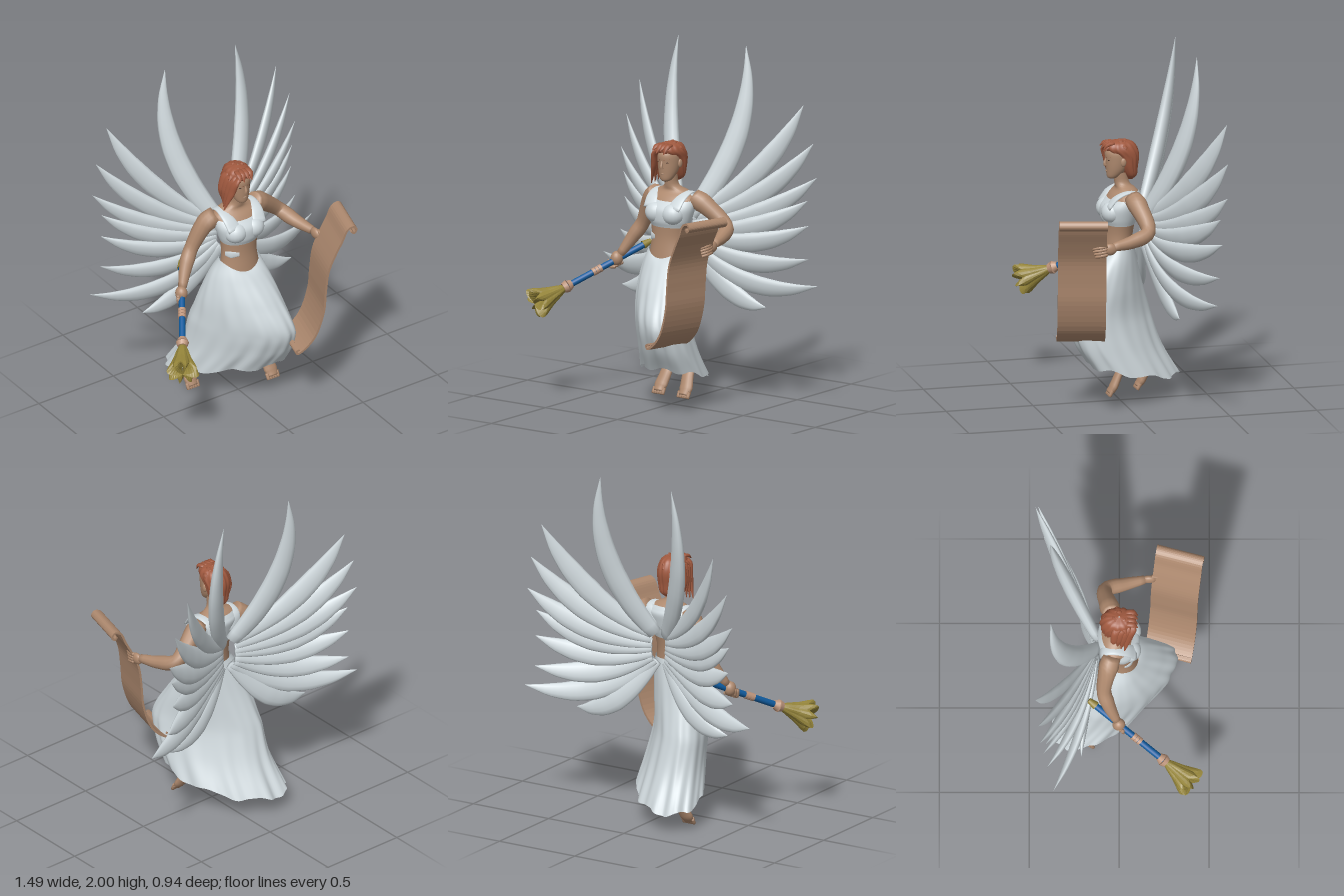
import * as THREE from 'three';

const V = (a) => new THREE.Vector3(...a);
const spline = (pts) => new THREE.CatmullRomCurve3(pts.map(V), false, 'catmullrom');
const mat = (name, color) => Object.assign(new THREE.MeshStandardMaterial({ color }), { name });

// Closed-around surface: f(angle, v) gives a point; v runs along the axis
function surface(f, around, along) {
  const pos = [], idx = [];
  for (let j = 0; j <= along; j++)
    for (let i = 0; i < around; i++) pos.push(...f(i / around * Math.PI * 2, j / along));
  for (let j = 0; j < along; j++)
    for (let i = 0; i < around; i++) {
      const a = j * around + i, b = j * around + (i + 1) % around;
      idx.push(a, b, a + around, b, b + around, a + around);
    }
  const g = new THREE.BufferGeometry();
  g.setAttribute('position', new THREE.Float32BufferAttribute(pos, 3));
  g.setIndex(idx);
  g.computeVertexNormals();
  return g;
}

// Elliptical rings [y, cx, cz, rx, rz], listed from bottom to top
function loft(rings, mod = (p) => p, around = 32, along = 28) {
  const c = spline(rings.map((r) => r.slice(0, 3)));
  const s = spline(rings.map((r) => [r[3], r[4], 0]));
  return surface((a, v) => {
    const p = c.getPoint(v), r = s.getPoint(v);
    return mod([p.y + r.x * Math.cos(a), p.x, p.z - r.y * Math.sin(a)], a, v);
  }, around, along);
}

// Tapered sweep with an elliptical section, closed at both ends
function sweep(pts, radii, thick = 1, side = [0, 0.7, 0.7], around = 12, along = 20) {
  const c = spline(pts), w = V(side);
  return surface((a, v) => {
    const u = THREE.MathUtils.clamp((v * along - 1) / (along - 2), 0, 1);
    const p = c.getPoint(u), t = c.getTangent(u);
    const s = w.clone().addScaledVector(t, -w.dot(t)).normalize();
    const n = t.clone().cross(s);
    const k = u * (radii.length - 1), i = Math.min(Math.floor(k), radii.length - 2);
    const r = v === 0 || v === 1 ? 0 : THREE.MathUtils.lerp(radii[i], radii[i + 1], k - i);
    return p.addScaledVector(s, r * Math.cos(a)).addScaledVector(n, r * thick * Math.sin(a)).toArray();
  }, around, along);
}

export function createModel() {
  const model = new THREE.Group();
  const skin = mat('skin', 0xae896e), white = mat('white cloth and feathers', 0xcfd8dc);
  const hairMat = mat('auburn hair', 0xa0593f), blue = mat('blue rod', 0x0f5a9c);
  const gold = mat('gold', 0x94843a), paper = mat('parchment', 0xab876d);
  const wrap = mat('pale wrapping', 0xbd957c), dark = mat('dark eyes', 0x4a3328);
  const cloth = mat('skirt cloth', 0xcfd8dc);
  cloth.side = THREE.DoubleSide;
  const add = (name, geo, m, parent = model) => {
    const mesh = new THREE.Mesh(geo, m);
    mesh.name = name;
    parent.add(mesh);
    return mesh;
  };
  const ball = (name, p, s, m) => {
    const b = add(name, new THREE.SphereGeometry(1, 20, 14), m);
    b.position.set(...p);
    b.scale.set(...s);
  };

  // Wings: [tip, bend, root] of each feather on the +x side
  const feathers = [
    [[0.235, 2.0, -0.38], [0.325, 1.5, -0.36], [0.04, 1.06, -0.13]],
    [[0.57, 1.69, -0.465], [0.40, 1.25, -0.33], [0.05, 1.06, -0.14]],
    [[0.65, 1.485, -0.45], [0.42, 1.12, -0.31], [0.05, 1.03, -0.14]],
    [[0.68, 1.295, -0.44], [0.42, 1.02, -0.29], [0.05, 1.0, -0.14]],
    [[0.64, 1.165, -0.41], [0.39, 0.94, -0.26], [0.05, 0.98, -0.14]],
    [[0.64, 1.02, -0.42], [0.37, 0.85, -0.24], [0.05, 0.95, -0.14]],
    [[0.655, 0.835, -0.40], [0.36, 0.74, -0.20], [0.05, 0.93, -0.14]],
    [[0.745, 0.70, -0.365], [0.36, 0.60, -0.18], [0.04, 0.91, -0.13]],
    [[0.50, 0.575, -0.21], [0.25, 0.56, -0.21], [0.03, 0.90, -0.12]],
  ];
  for (const m of [1, -1]) {
    const wing = new THREE.Group();
    wing.name = m > 0 ? 'leftWing' : 'rightWing';
    model.add(wing);
    feathers.forEach(([tip, bend, root], i) => {
      const curve = new THREE.QuadraticBezierCurve3(V(root), V(bend), V(tip));
      const side = i ? V([0.42, -0.3, 0.9]).cross(V(tip).sub(V(root))).normalize().toArray() : [0.85, 0, -0.45];
      const flip = (p) => [p[0] * m, p[1], p[2]];
      const pts = curve.getPoints(6).map((p) => flip(p.toArray()));
      const radii = i ? [0.03, 0.042, 0.055, 0.062, 0.056, 0.036, 0.001] : [0.045, 0.06, 0.065, 0.06, 0.048, 0.028, 0.001];
      add('feather', sweep(pts, radii, i ? 0.42 : 0.6, flip(side), 12, 24), white, wing);
    });
  }

  // Torso and neck
  add('torso', loft([
    [0.83, -0.005, 0.02, 0.12, 0.085], [0.95, -0.005, 0.012, 0.106, 0.08], [1.05, 0, 0.005, 0.12, 0.09],
    [1.12, 0, -0.005, 0.138, 0.1], [1.18, 0, -0.025, 0.145, 0.085], [1.215, -0.005, -0.03, 0.1, 0.058],
    [1.245, -0.005, -0.012, 0.043, 0.042], [1.31, -0.005, 0.0, 0.038, 0.04]]), skin);

  // Bodice with bust and straps, and a scrap of cloth at the waist
  add('bodice', loft([[1.02, 0, 0.008, 0.115, 0.088], [1.06, 0, 0.008, 0.13, 0.103],
    [1.12, 0, 0.0, 0.146, 0.111], [1.165, 0, -0.02, 0.148, 0.1], [1.19, 0, -0.026, 0.136, 0.084], [1.21, 0, -0.03, 0.114, 0.068]],
  ([x, y, z], a, v) => [x, y - 0.025 * v * v * Math.max(0, -Math.sin(a)), z]), white);
  for (const m of [1, -1]) {
    ball('bust', [m * 0.057, 1.095, 0.06], [0.066, 0.062, 0.062], white);
    add('strap', sweep([[m * 0.08, 1.13, 0.088], [m * 0.095, 1.185, 0.042], [m * 0.098, 1.212, -0.03],
      [m * 0.09, 1.185, -0.09], [m * 0.07, 1.1, -0.102]], [0.045, 0.036, 0.03, 0.034, 0.04], 0.25, [1, 0, 0]), white);
  }
  add('waistScrap', sweep([[-0.108, 0.955, 0.03], [-0.09, 0.957, 0.062], [-0.05, 0.96, 0.088]],
    [0.014, 0.022, 0.012], 0.2, [0, 1, 0]), white);

  // Flowing skirt: folds, swept back at the hem, dipped at the front of the waist
  add('skirt', loft([
    [0.17, -0.035, -0.08, 0.22, 0.29], [0.33, -0.015, 0.01, 0.192, 0.275], [0.5, -0.015, 0.06, 0.175, 0.262],
    [0.66, -0.018, 0.05, 0.172, 0.198], [0.8, -0.015, 0.028, 0.152, 0.135], [0.9, -0.005, 0.016, 0.118, 0.092]],
  ([x, y, z], a, v) => {
    const f = -Math.sin(a), low = 1 - v;
    const fold = 1 + low * (0.022 * Math.sin(11 * a + 3 * v) + 0.014 * Math.sin(19 * a + 1 - 4 * v));
    const hem = Math.max(0, 1 - v * 2.5);
    return [x * fold + 0.135 * f * Math.min(1, low * 1.6), y + hem * (0.07 * f + 0.012 * Math.sin(7 * a))
      - 0.055 * v ** 6 * Math.max(0, f) ** 2, z * fold];
  }, 120, 36), cloth);

  // Legs and pointed feet
  const leg = (name, pts) => {
    add(name, sweep(pts, [0.06, 0.05, 0.034, 0.032], 1), skin);
    const [x, y, z] = pts[3], out = Math.sign(x) * 0.012;
    add(name + 'Foot', sweep([[x, y + 0.025, z - 0.015], [x, y - 0.03, z + 0.02], [x + out, y - 0.1, z + 0.055],
      [x + out, y - 0.135, z + 0.08]], [0.03, 0.037, 0.042, 0.03], 0.55, [1, 0, 0]), skin);
    for (let i = -2; i <= 2; i++)
      add('toe', sweep([[x + out + i * 0.016, y - 0.115, z + 0.068], [x + out + i * 0.016, y - 0.148, z + 0.086]],
        [0.012, 0.01], 1, [1, 0, 0], 8, 6), skin);
  };
  leg('leftLeg', [[0.08, 0.7, 0.06], [0.13, 0.46, 0.16], [0.145, 0.3, 0.07], [0.15, 0.22, 0.025]]);
  leg('rightLeg', [[-0.09, 0.7, 0.02], [-0.12, 0.45, 0.03], [-0.17, 0.25, -0.16], [-0.19, 0.15, -0.23]]);

  // Arms
  const arm = (name, pts) => add(name, sweep(pts, [0.05, 0.057, 0.048, 0.04, 0.042, 0.034, 0.024], 1), skin);
  arm('rightArm', [[-0.125, 1.185, -0.04], [-0.19, 1.12, -0.065], [-0.255, 0.99, -0.085], [-0.31, 0.9, -0.06], [-0.365, 0.8, -0.015]]);
  arm('leftArm', [[0.125, 1.185, -0.04], [0.2, 1.14, -0.06], [0.32, 1.04, -0.08], [0.365, 1.0, 0.02], [0.4, 0.985, 0.14]]);
  ball('rightHand', [-0.38, 0.775, -0.002], [0.034, 0.042, 0.036], skin);
  ball('leftHand', [0.407, 0.975, 0.165], [0.02, 0.033, 0.04], skin);
  for (let i = 0; i < 4; i++) {
    const y = 0.997 - i * 0.016;
    add('leftFinger', sweep([[0.415, y, 0.18], [0.413, y - 0.008, 0.22], [0.395, y - 0.016, 0.262 - i * 0.006]],
      [0.011, 0.01, 0.007], 1, [0, 1, 0], 8, 8), skin);
    const d = i * 0.016 - 0.024;
    const q = [-0.378 - d * 0.5, 0.77 - d * 0.41, d * 0.76];
    add('rightFinger', sweep([[q[0] - 0.025, q[1] + 0.01, q[2]], [q[0] - 0.02, q[1] - 0.03, q[2] + 0.005],
      [q[0] + 0.015, q[1] - 0.03, q[2]]], [0.012, 0.011, 0.008], 1, [0, 0, 1], 8, 8), skin);
  }

  // Head and face
  add('head', loft([
    [1.272, -0.005, 0.047, 0.008, 0.01], [1.285, -0.005, 0.04, 0.033, 0.033], [1.325, -0.005, 0.022, 0.052, 0.056],
    [1.38, -0.005, 0.012, 0.061, 0.07], [1.43, -0.005, 0.008, 0.06, 0.076], [1.47, -0.005, 0, 0.04, 0.055],
    [1.485, -0.005, 0, 0.005, 0.005]]), skin);
  add('nose', sweep([[-0.005, 1.395, 0.078], [-0.005, 1.365, 0.086], [-0.005, 1.35, 0.083]], [0.005, 0.009, 0.01], 1, [1, 0, 0]), skin);
  add('lips', sweep([[-0.024, 1.318, 0.067], [-0.005, 1.319, 0.077], [0.014, 1.318, 0.067]], [0.002, 0.005, 0.002], 1, [0, 1, 0]), skin);
  for (const m of [1, -1]) {
    ball('eye', [-0.005 + m * 0.026, 1.385, 0.071], [0.011, 0.004, 0.005], dark);
    add('eyebrow', sweep([[-0.005 + m * 0.012, 1.398, 0.081], [-0.005 + m * 0.042, 1.405, 0.064]], [0.004, 0.002], 1, [0, 1, 0], 8, 6), hairMat);
    ball('ear', [-0.005 + m * 0.063, 1.375, -0.005], [0.01, 0.025, 0.016], skin);
  }

  // Hair: cap, side sweep, forward fringe and tousled tufts
  add('hairCap', loft([
    [1.265, -0.005, -0.06, 0.015, 0.01], [1.29, -0.005, -0.06, 0.046, 0.032], [1.34, -0.005, -0.048, 0.062, 0.05],
    [1.4, -0.005, -0.036, 0.071, 0.07], [1.445, -0.005, -0.006, 0.073, 0.09], [1.48, -0.005, 0, 0.054, 0.068],
    [1.495, -0.005, 0, 0.005, 0.005]], ([x, y, z], a) => {
    const k = 1 + 0.04 * Math.sin(13 * a);
    return [x * k, y, z * k];
  }, 52), hairMat);
  for (let i = 0; i < 4; i++) {
    add('sideLock', sweep([[0.01 - i * 0.02, 1.465, 0.075 - i * 0.025], [-0.06 - i * 0.006, 1.43, 0.07 - i * 0.03],
      [-0.083 - i * 0.004, 1.35, 0.05 - i * 0.025], [-0.115 + i * 0.01, 1.245 + i * 0.008, 0.03 - i * 0.02]],
    [0.015, 0.026, 0.024, 0.003], 0.6, [0.3, 0.5, 0.8]), hairMat);
    add('fringe', sweep([[i * 0.022 - 0.04, 1.48, 0.04], [i * 0.024 - 0.045, 1.473, 0.08],
      [i * 0.026 - 0.055, 1.452 - (i % 2) * 0.015, 0.104]], [0.016, 0.018, 0.002], 0.6, [1, 0, 0], 8, 8), hairMat);
  }
  for (let i = 0; i < 16; i++) {
    const a = i * 2.4, r = 0.025 + 0.045 * ((i * 7) % 16) / 16, c = Math.cos(a), s = Math.sin(a);
    const y = 1.505 - r * 0.75;
    add('tuft', sweep([[c * r * 0.5, y - 0.02, s * r * 0.6], [c * r, y, s * r * 1.15],
      [c * (r + 0.022) - 0.008, y - 0.024, s * (r + 0.03) * 1.1]], [0.014, 0.017, 0.002], 0.7, [-s, 0.2, c], 8, 8), hairMat);
  }

  // Hanging scroll: a thin curved sheet with rolled ends
  const line = new THREE.CatmullRomCurve3([
    [0.48, 1.135], [0.495, 1.12], [0.51, 1.14], [0.495, 1.162], [0.46, 1.15], [0.427, 1.08], [0.387, 1.0], [0.347, 0.9],
    [0.33, 0.77], [0.318, 0.64], [0.265, 0.485], [0.195, 0.412], [0.165, 0.4], [0.155, 0.415], [0.175, 0.425],
  ].map(([x, y]) => new THREE.Vector3(x - 0.33, y, 0)));
  const left = [], right = [];
  for (let i = 0; i <= 70; i++) {
    const p = line.getPoint(i / 70), t = line.getTangent(i / 70);
    left.push(new THREE.Vector2(p.x - t.y * 0.006, p.y + t.x * 0.006));
    right.unshift(new THREE.Vector2(p.x + t.y * 0.006, p.y - t.x * 0.006));
  }
  const sheet = new THREE.ExtrudeGeometry(new THREE.Shape([...left, ...right]), { depth: 1, bevelEnabled: false });
  sheet.translate(0, 0, -0.5);
  sheet.applyMatrix4(new THREE.Matrix4().makeBasis(V([1, 0, 0.21]), V([0, 1, 0]), V([-0.07, 0, 0.26])));
  sheet.translate(0.33, 0, 0.305);
  add('scroll', sheet, paper);

  // Sceptre: blue rod, wrapped collars and a flared golden head
  const rod = new THREE.Group();
  rod.name = 'sceptre';
  rod.position.set(-0.28, 0.85, -0.15);
  rod.quaternion.setFromUnitVectors(V([0, 1, 0]), V([-0.27, -0.22, 0.41]).normalize());
  model.add(rod);
  const ringAt = (name, y, h, r0, r1, m) => {
    add(name, new THREE.CylinderGeometry(r1, r0, h, 16), m, rod).position.y = y;
  };
  ringAt('shaft', 0.26, 0.52, 0.018, 0.018, blue);
  ringAt('pommel', 0.0, 0.05, 0.014, 0.024, gold);
  for (const y of [0.305, 0.325, 0.345]) ringAt('collar', y, 0.018, 0.022, 0.022, wrap);
  ringAt('neckCollar', 0.5, 0.025, 0.022, 0.034, wrap);
  ringAt('neckCollar', 0.53, 0.025, 0.036, 0.028, wrap);
  const flare = loft([[0.535, 0, 0, 0.018, 0.018], [0.57, 0, 0, 0.032, 0.032], [0.63, 0, 0, 0.052, 0.052],
    [0.7, 0, 0, 0.08, 0.08], [0.71, 0, 0, 0.05, 0.05], [0.68, 0, 0, 0.001, 0.001]],
  ([x, y, z], a, v) => {
    const k = 1 + 0.28 * v * Math.cos(8 * a);
    return [x * k, y + 0.05 * v * v * Math.cos(8 * a), z * k];
  }, 32, 15).toNonIndexed();
  flare.computeVertexNormals();
  add('flaredHead', flare, gold, rod);

  return model;
}
